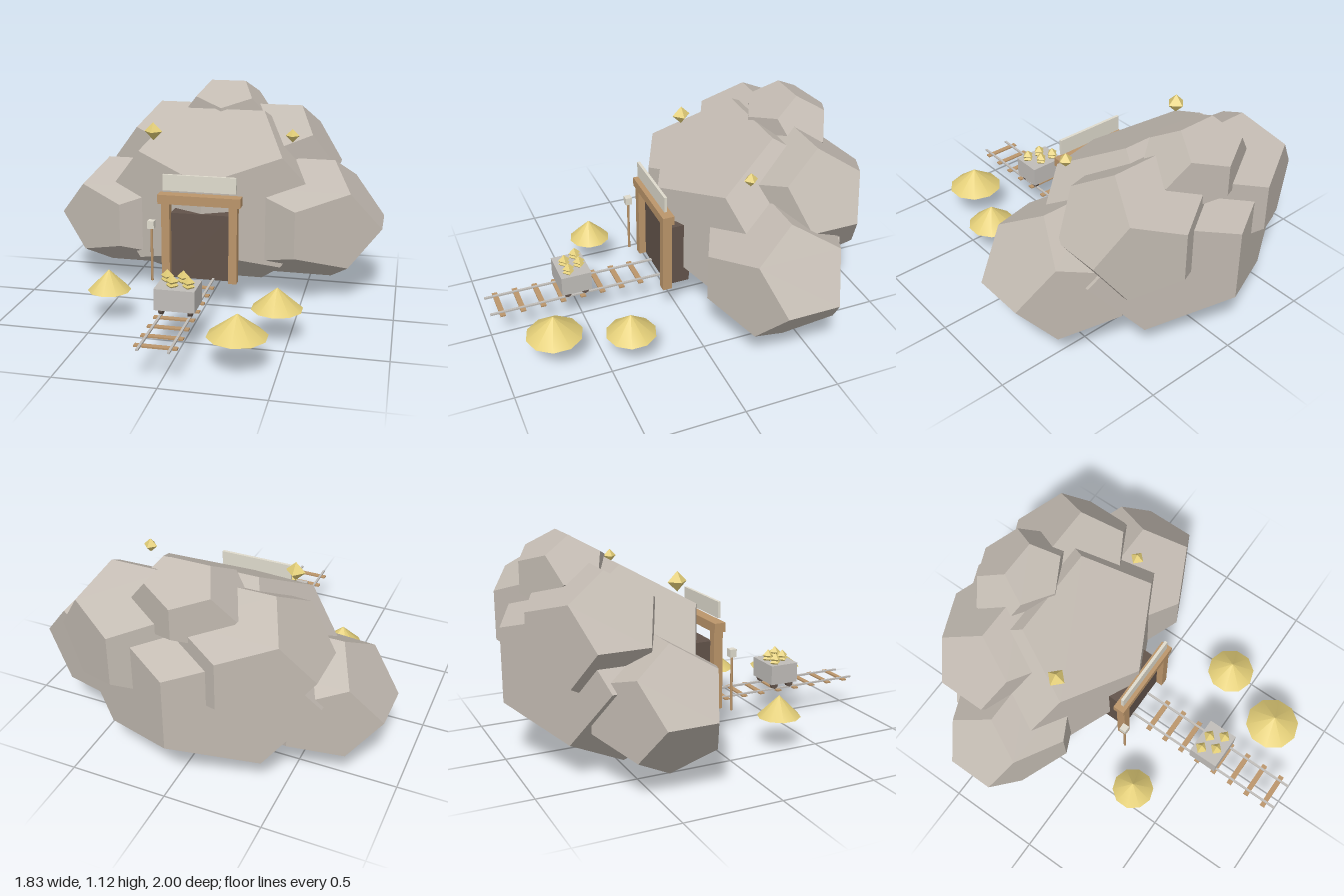
import * as THREE from 'three';

const mat = (name, color) => {
  const m = new THREE.MeshStandardMaterial({ color });
  m.name = name;
  return m;
};

export function createModel() {
  const rock = mat('rock grey', 0xc1b9b0);
  const wood = mat('timber brown', 0xbb956a);
  const dark = mat('tunnel dark brown', 0x62534a);
  const metal = mat('metal grey', 0xc0bdb9);
  const sign = mat('sign pale grey', 0xdfdbcd);
  const gold = mat('gold', 0xe3ce78);

  const model = new THREE.Group();
  model.name = 'goldMine';
  const add = (name, geometry, material, x, y, z, parent = model) => {
    const mesh = new THREE.Mesh(geometry, material);
    mesh.name = name;
    mesh.position.set(x, y, z);
    parent.add(mesh);
    return mesh;
  };
  // Box given by its lower and upper corners
  const box = (name, material, a, b, parent) => add(
    name, new THREE.BoxGeometry(b[0] - a[0], b[1] - a[1], b[2] - a[2]), material,
    (a[0] + b[0]) / 2, (a[1] + b[1]) / 2, (a[2] + b[2]) / 2, parent);
  const group = (name) => {
    const g = new THREE.Group();
    g.name = name;
    model.add(g);
    return g;
  };

  const GROUND = 0.168;
  const MID = -0.018; // centre line of entrance and track

  // Hill: stretched dodecahedra, [name, centre, half extents]
  const hill = group('hill');
  const unit = Math.sqrt(3) / ((1 + Math.sqrt(5)) / 2); // radius giving half extent 1
  [
    ['mainRock', [-0.018, 0.495, -0.475], [0.64, 0.495, 0.525]],
    ['rightRock', [-0.51, 0.388, -0.405], [0.404, 0.312, 0.32]],
    ['leftRock', [0.467, 0.415, -0.382], [0.445, 0.335, 0.355]],
    ['backRightRock', [-0.25, 0.685, -0.61], [0.4, 0.315, 0.33]],
    ['backLeftRock', [0.28, 0.67, -0.62], [0.367, 0.333, 0.325]],
    ['topRock', [-0.018, 0.92, -0.675], [0.262, 0.203, 0.218]],
  ].forEach(([name, c, s]) => {
    add(name, new THREE.DodecahedronGeometry(unit).scale(...s), rock, ...c, hill);
  });

  // Entrance: dark tunnel mouth, timber frame and blank sign board
  const entrance = group('entrance');
  box('tunnelMouth', dark, [-0.178, GROUND, -0.064], [0.144, 0.527, 0.062], entrance);
  for (const side of [-1, 1]) {
    const x = MID + side * 0.18;
    box('post', wood, [x - 0.022, GROUND, 0.05], [x + 0.022, 0.586, 0.1], entrance);
  }
  box('beam', wood, [-0.238, 0.585, 0.044], [0.202, 0.634, 0.106], entrance);
  box('signBoard', sign, [-0.213, 0.655, 0.075], [0.177, 0.74, 0.09], entrance);

  // Lamp post
  const lamp = group('lampPost');
  add('pole', new THREE.CylinderGeometry(0.007, 0.007, 0.3, 8), wood, -0.264, GROUND + 0.15, 0.13, lamp);
  box('lamp', sign, [-0.283, 0.458, 0.112], [-0.247, 0.5, 0.148], lamp);

  // Track: sleepers and two rails
  const track = group('track');
  for (let i = 0; i < 8; i++) {
    const z = 0.187 + i * 0.1075;
    box('sleeper', wood, [-0.12, GROUND, z - 0.014], [0.082, GROUND + 0.008, z + 0.014], track);
  }
  for (const side of [-1, 1]) {
    const x = MID + side * 0.072;
    box('rail', metal, [x - 0.006, GROUND + 0.004, 0.05], [x + 0.006, GROUND + 0.013, 1], track);
  }

  // Cart with wheels and a load of nuggets
  const cart = group('cart');
  box('cartBody', metal, [-0.118, 0.209, 0.46], [0.082, 0.317, 0.622], cart);
  for (const side of [-1, 1]) {
    for (const z of [0.492, 0.587]) {
      const wheel = new THREE.CylinderGeometry(0.021, 0.021, 0.02, 8).rotateZ(Math.PI / 2);
      add('wheel', wheel, dark, MID + side * 0.072, 0.199, z, cart);
    }
  }
  const nugget = (r, x, y, z, parent) =>
    add('nugget', new THREE.OctahedronGeometry(r), gold, x, y, z, parent);
  [[-0.08, 0.503], [0, 0.503], [-0.038, 0.572], [0.042, 0.572]].forEach(([x, z]) => {
    for (const y of [0.326, 0.346]) nugget(0.032, x, y, z, cart);
  });

  // Nuggets on the rock face
  nugget(0.05, -0.345, 0.9, -0.216);
  nugget(0.037, 0.414, 0.9, -0.266);

  // Ore piles
  [[-0.443, 0.31, 0.112], [0.44, 0.374, 0.13], [0.31, 0.735, 0.146]].forEach(([x, z, r]) => {
    add('orePile', new THREE.ConeGeometry(r, 0.11, 10), gold, x, GROUND + 0.055, z);
  });

  return model;
}
